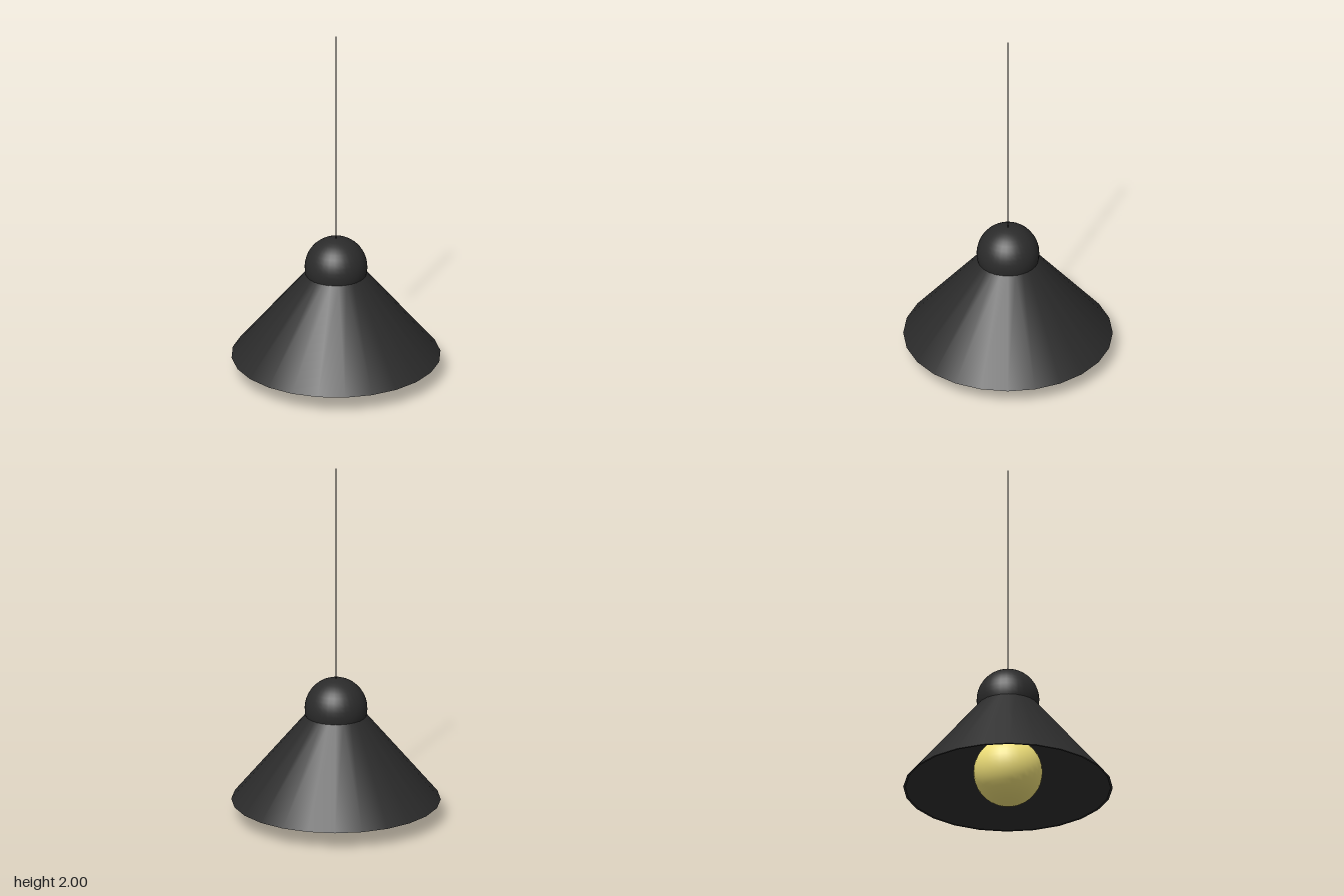
import * as THREE from 'three';

const black = new THREE.MeshStandardMaterial({ color: 0x2b2b2b, side: THREE.DoubleSide });
const yellow = new THREE.MeshStandardMaterial({ color: 0xf2e27a });

function addPart(group, name, geometry, material, y) {
  const mesh = new THREE.Mesh(geometry, material);
  mesh.name = name;
  mesh.position.y = y;
  group.add(mesh);
}

export function createModel() {
  const group = new THREE.Group();
  group.name = 'pendantLamp';
  const sides = 24;
  const rimY = 0.1, neckY = 0.585, rimR = 0.57, neckR = 0.165, wall = 0.012;

  // Conical shade: outer wall, flat rim and inner wall
  const cone = (name, top, bottom, y0, y1) => addPart(group, name,
    new THREE.CylinderGeometry(top, bottom, y1 - y0, sides, 1, true), black, (y0 + y1) / 2);
  cone('shadeOuter', neckR, rimR, rimY, neckY);
  cone('shadeInner', neckR - wall, rimR - wall, rimY, neckY);
  const rim = new THREE.RingGeometry(rimR - wall, rimR, sides);
  rim.rotateX(Math.PI / 2);
  addPart(group, 'shadeRim', rim, black, rimY);

  // Round cap on top of the shade
  addPart(group, 'cap', new THREE.SphereGeometry(0.171, 32, 20), black, 0.623);

  // Hanging cord
  addPart(group, 'cord', new THREE.CylinderGeometry(0.004, 0.004, 1.22, 8), black, 1.39);

  // Globe bulb
  addPart(group, 'bulb', new THREE.SphereGeometry(0.188, 32, 20), yellow, 0.19);

  return group;
}
